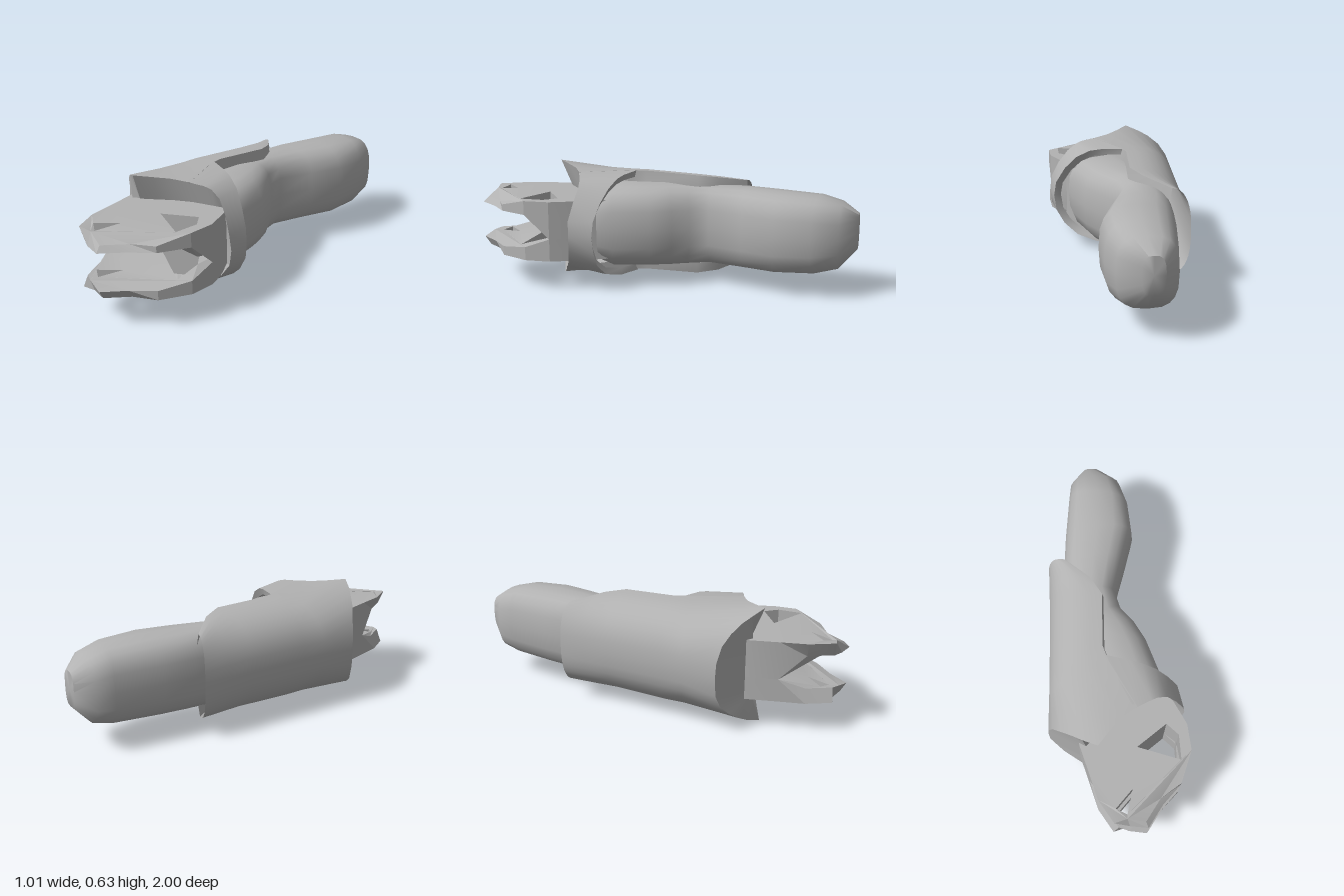
import * as THREE from 'three';
import { toCreasedNormals, mergeVertices } from 'three/addons/utils/BufferGeometryUtils.js';

const grey = new THREE.MeshStandardMaterial({ color: 0xb2b2b2, side: THREE.DoubleSide });
grey.name = 'plain grey';

const { lerp, clamp } = THREE.MathUtils;

// Skin a surface through equally long rows of [x, y, z] points
function loft(rows, { closed = false, capStart = false, capEnd = false } = {}) {
  const n = rows[0].length;
  const pos = rows.flat(2);
  const index = [];
  for (let r = 0; r < rows.length - 1; r++) {
    for (let i = 0; i < (closed ? n : n - 1); i++) {
      const a = r * n + i, b = r * n + (i + 1) % n;
      index.push(a, a + n, b, b, a + n, b + n);
    }
  }
  const cap = (r, flip) => {
    const c = pos.length / 3;
    for (let k = 0; k < 3; k++) pos.push(rows[r].reduce((s, p) => s + p[k], 0) / n);
    for (let i = 0; i < n; i++) {
      const a = r * n + i, b = r * n + (i + 1) % n;
      index.push(c, flip ? b : a, flip ? a : b);
    }
  };
  if (capStart) cap(0, false);
  if (capEnd) cap(rows.length - 1, true);
  const geo = new THREE.BufferGeometry();
  geo.setAttribute('position', new THREE.Float32BufferAttribute(pos, 3));
  geo.setIndex(index);
  return geo;
}

function part(name, geo, crease = 0.7) {
  const clean = geo.index ? geo : mergeVertices(geo);
  const mesh = new THREE.Mesh(toCreasedNormals(clean, crease), grey);
  mesh.name = name;
  return mesh;
}

// Arm: stations of left x, z, right x, z, bottom y, top y
function arm() {
  const stations = [
    [0.34, -1.0, 0.44, -0.955, 0.25, 0.44],
    [0.24, -0.95, 0.503, -0.83, 0.15, 0.5],
    [0.19, -0.87, 0.485, -0.69, 0.12, 0.53],
    [0.06, -0.65, 0.42, -0.51, 0.11, 0.54],
    [-0.02, -0.5, 0.3, -0.37, 0.11, 0.543],
    [-0.1, -0.3, 0.165, -0.22, 0.11, 0.54],
    [-0.16, -0.1, 0.15, -0.12, 0.1, 0.545],
    [-0.2, 0, 0.18, -0.02, 0.1, 0.55],
    [-0.24, 0.1, 0.19, 0.1, 0.1, 0.55],
    [-0.28, 0.24, 0.17, 0.3, 0.1, 0.55],
    [-0.28, 0.28, 0.15, 0.38, 0.13, 0.53],
  ];
  const power = (v) => Math.sign(v) * Math.abs(v) ** 0.68;
  const rows = stations.map(([lx, lz, rx, rz, y0, y1]) =>
    Array.from({ length: 20 }, (_, i) => {
      const a = (i / 20) * Math.PI * 2;
      const u = 0.5 + 0.5 * power(Math.cos(a));
      return [lerp(lx, rx, u), (y0 + y1) / 2 + (y1 - y0) / 2 * power(Math.sin(a)), lerp(lz, rz, u)];
    }));
  return loft(rows, { closed: true, capStart: true, capEnd: true });
}

// Fold the two ends of a shell section inward
const withLip = (row, lip) => {
  const [x, y, z] = row[0], [bx, by, bz] = row[row.length - 1];
  return [[x + lip / 6, y - lip, z], ...row, [bx + lip / 6, by + lip, bz]];
};

// Half-round section of the forearm shell, open on the right
function shellRow([lx, lz, ex, ez, y0, y1]) {
  return Array.from({ length: 19 }, (_, i) => {
    const s = 1 - i / 9;
    const a = s * Math.PI / 2;
    const u = 1 - Math.cos(a) ** 0.87;
    const v = Math.sign(s) * Math.abs(Math.sin(a)) ** 0.78;
    return [lerp(lx, ex, u), (y0 + y1) / 2 + (y1 - y0) / 2 * v, lerp(lz, ez, u)];
  });
}

const shellStations = [
  [-0.1, -0.53, -0.02, -0.47, 0.095, 0.55],
  [-0.16, -0.4, 0.05, -0.3, 0.058, 0.582],
  [-0.22, -0.27, 0.06, -0.18, 0.048, 0.597],
  [-0.36, 0.02, -0.07, 0.09, 0.043, 0.607],
  [-0.42, 0.14, -0.08, 0.18, 0.04, 0.61],
];

// Peaked front rim of the shell, from the top edge round the left to the bottom edge
const rim = [
  [-0.06, 0.607, 0.46], [-0.16, 0.616, 0.475], [-0.24, 0.624, 0.51], [-0.33, 0.635, 0.555],
  [-0.385, 0.608, 0.49], [-0.42, 0.583, 0.44], [-0.46, 0.54, 0.385], [-0.485, 0.48, 0.34],
  [-0.504, 0.4, 0.315], [-0.506, 0.318, 0.31], [-0.504, 0.22, 0.315], [-0.485, 0.155, 0.34],
  [-0.46, 0.105, 0.385], [-0.42, 0.063, 0.44], [-0.385, 0.035, 0.49], [-0.34, 0.015, 0.55],
  [-0.21, 0, 0.55], [-0.16, 0.02, 0.545], [-0.1, 0.05, 0.54],
];

// Cuff strip across the open side, top to bottom: rear edge and front edge
const cuffRear = [
  [-0.08, 0.609, 0.14], [0.02, 0.602, 0.22], [0.07, 0.59, 0.26], [0.13, 0.55, 0.31],
  [0.18, 0.48, 0.36], [0.22, 0.39, 0.4], [0.23, 0.31, 0.41], [0.22, 0.22, 0.4],
  [0.18, 0.14, 0.38], [0.12, 0.075, 0.33], [0.04, 0.046, 0.24], [-0.08, 0.036, 0.14],
];
const cuffFront = [
  [-0.08, 0.608, 0.462], [0.02, 0.6, 0.46], [0.06, 0.588, 0.46], [0.11, 0.55, 0.47],
  [0.155, 0.48, 0.5], [0.19, 0.39, 0.53], [0.2, 0.31, 0.53], [0.19, 0.23, 0.53],
  [0.145, 0.165, 0.53], [0.09, 0.125, 0.535], [0, 0.09, 0.54], [-0.1, 0.05, 0.54],
];

// Face between the rim and the root of the hand
function socket() {
  const mouth = [...rim, ...cuffFront.slice(1, -1).reverse()];
  const root = mouth.map(([x, y]) => {
    const rx = clamp(x, -0.37, 0.12);
    return [rx, clamp(y, 0.18, 0.47), lerp(0.5, 0.42, clamp((rx + 0.37) / 0.27, 0, 1))];
  });
  return loft([mouth, root], { closed: true });
}

// Jaw: plan outline with two holes, thickened toward the hinge
function jaw(upper) {
  const pts = (list) => list.map(([x, z]) => new THREE.Vector2(x, z));
  const shape = new THREE.Shape(pts([
    [-0.36, 0.3], [-0.4, 0.48], [-0.42, 0.63], [-0.44, 0.77], [-0.42, 0.91], [-0.35, 0.95], [-0.27, 1.0],
    [-0.15, 0.93], [-0.02, 0.88], [0.1, 0.76], [0.145, 0.63], [0.14, 0.5], [0.12, 0.3],
  ]));
  shape.holes.push(
    new THREE.Path(pts([[-0.14, 0.62], [0.05, 0.58], [0.08, 0.66], [0.03, 0.78]])),
    new THREE.Path(pts([[-0.38, 0.85], [-0.26, 0.8], [-0.34, 0.9]])));
  const geo = new THREE.ExtrudeGeometry(shape, { depth: 1, bevelEnabled: false });
  geo.rotateX(Math.PI / 2);
  const p = geo.attributes.position;
  for (let i = 0; i < p.count; i++) {
    const x = p.getX(i), z = p.getZ(i), t = -p.getY(i);
    const open = clamp((z - 0.63) / 0.13, 0, 1);
    // The middle of the front edge dips below the corners
    const dip = clamp((z - 0.8) / 0.08, 0, 1) * clamp((0.22 - Math.abs(x + 0.15)) / 0.1, 0, 1);
    const top = upper ? 0.487 - 0.045 * dip : lerp(0.285, 0.235, open) - 0.025 * dip;
    const bottom = upper ? lerp(0.285, 0.412, open) : 0.163;
    p.setY(i, lerp(top, bottom, t));
    // Slant the side and the tip
    const isOuter = (t < 0.5) === upper;
    if (isOuter && z > 0.92) p.setZ(i, z - 0.03);
    if (!isOuter && z > 0.7 && x < -0.4) p.setX(i, x + 0.03);
  }
  geo.deleteAttribute('normal');
  geo.deleteAttribute('uv');
  return geo;
}

export function createModel() {
  const model = new THREE.Group();
  model.name = 'armouredArm';
  model.add(part('arm', arm(), 0.9));
  model.add(part('forearmShell', loft([
    ...shellStations.map((s) => withLip(shellRow(s), 0.06)), withLip(rim, 0.01),
  ])));
  const cuffLip = cuffRear.map(([x, y, z]) => [lerp(-0.13, x, 0.88), lerp(0.32, y, 0.88), z]);
  model.add(part('cuff', loft([cuffLip, cuffRear, cuffFront])));
  model.add(part('handSocket', socket(), 0.3));
  model.add(part('upperJaw', jaw(true), 0.3));
  model.add(part('lowerJaw', jaw(false), 0.3));
  return model;
}
